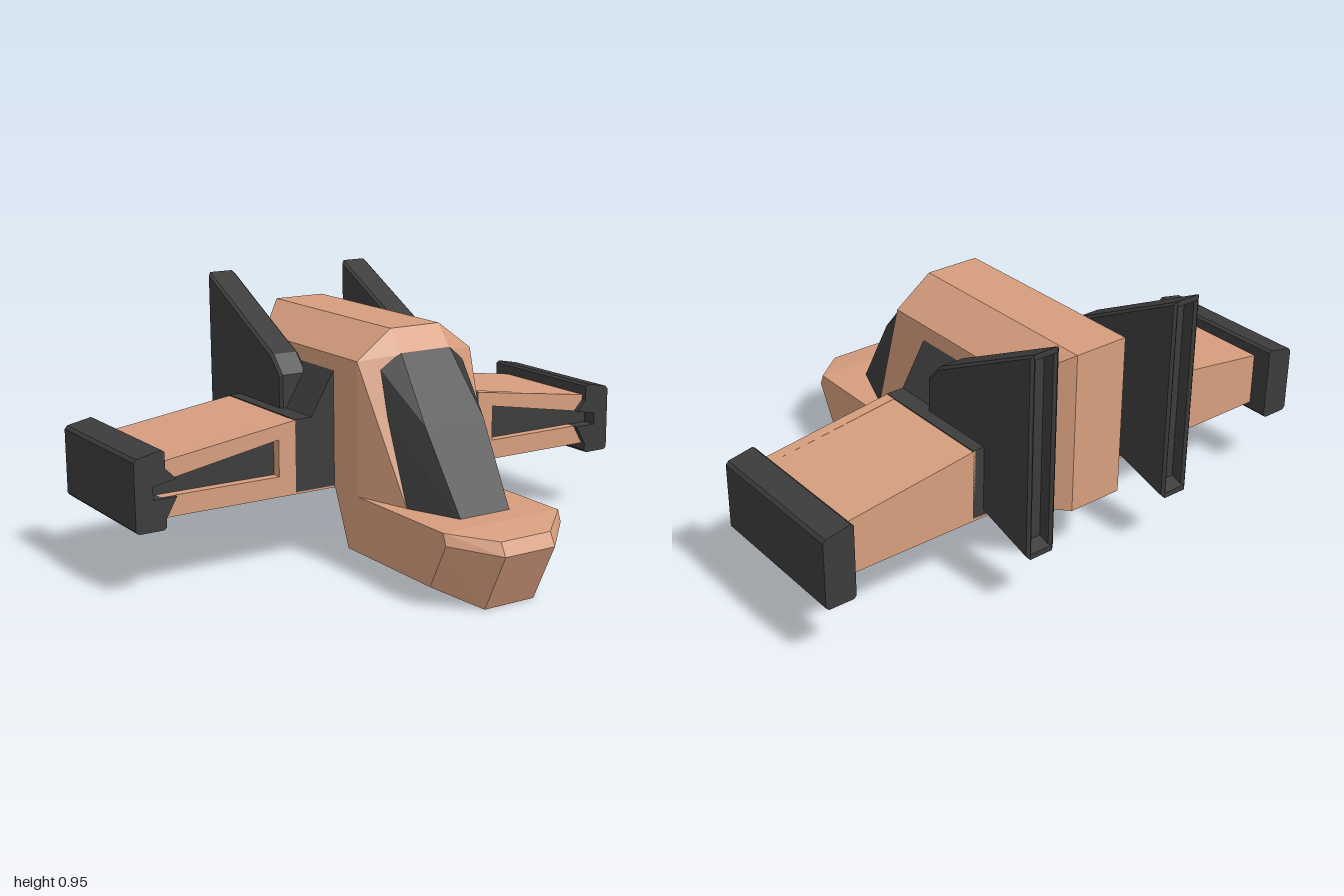
import * as THREE from 'three';
import { ConvexGeometry } from 'three/addons/geometries/ConvexGeometry.js';

const tan = new THREE.MeshStandardMaterial({ color: 0xd69e7e, flatShading: true });
const dark = new THREE.MeshStandardMaterial({ color: 0x3c3c3c, flatShading: true });

const shapeOf = (points) => new THREE.Shape(points.map(([x, y]) => new THREE.Vector2(x, y)));

// Faceted solid, symmetric about x = 0, from its right-hand corners
function hull(corners) {
  const points = corners.flatMap(([x, y, z]) => [new THREE.Vector3(x, y, z), new THREE.Vector3(-x, y, z)]);
  return new ConvexGeometry(points);
}

// Outline in x and y, running from zBack to zFront; side = -1 mirrors it
function slab(points, zBack, zFront, side) {
  const shape = shapeOf(points.map(([x, y]) => [x * side, y]));
  return new THREE.ExtrudeGeometry(shape, { depth: zFront - zBack, bevelEnabled: false }).translate(0, 0, zBack);
}

// Outline in z and y, running from x0 to x1
function sidePlate(points, x0, x1, bevel = 0) {
  const shape = shapeOf(points.map(([z, y]) => [-z, y]));
  return new THREE.ExtrudeGeometry(shape, {
    depth: x1 - x0 - 2 * bevel, bevelEnabled: bevel > 0, bevelSegments: 1,
    bevelSize: bevel, bevelThickness: bevel, bevelOffset: -bevel,
  }).rotateY(Math.PI / 2).translate(x0 + bevel, 0, 0);
}

export function createModel() {
  const model = new THREE.Group();
  const add = (name, geometry, material, parent = model) => {
    const mesh = new THREE.Mesh(geometry, material);
    mesh.name = name;
    parent.add(mesh);
  };

  // Main body with chamfered roof and rear corners
  add('body', hull([
    [0.1, 0.84, 0.1], [0.235, 0.74, 0.1], [0.235, 0.27, 0.1],
    [0.1, 0.84, -0.67], [0.235, 0.74, -0.53], [0.1, 0.27, -0.67], [0.235, 0.27, -0.53],
  ]), tan);

  // Sloping front that carries the canopy
  add('canopyFrame', hull([
    [0.1, 0.84, 0.1], [0.235, 0.74, 0.1], [0.235, 0.26, 0.1],
    [0.1, 0.76, 0.165], [0.17, 0.72, 0.135], [0.175, 0.26, 0.314],
  ]), tan);
  add('canopy', hull([
    [0.1, 0.765, 0.165], [0.12, 0.55, 0.335], [0.1, 0.26, 0.516],
    [0.172, 0.72, 0.137], [0.178, 0.55, 0.203], [0.177, 0.26, 0.317],
  ]), dark);

  // Low nose pod under the canopy
  add('nose', hull([
    [0.1, 0.205, 0.75], [0.235, 0.23, 0.615], [0.1, 0.25, 0.725], [0.235, 0.27, 0.6],
    [0.1, 0, 0.645], [0.235, 0.07, 0.53], [0.1, 0, 0.03], [0.235, 0.07, 0.04],
    [0.1, 0.27, -0.09], [0.235, 0.27, -0.045],
  ]), tan);

  // Flat belly joining both wings
  add('belly', new THREE.BoxGeometry(1.78, 0.012, 0.47).translate(0, 0.274, -0.285), tan);

  const finOutline = [[-0.22, 0.4], [-0.22, 0.65], [-0.28, 0.715], [-0.745, 0.95], [-0.745, 0.22], [-0.5, 0.29]];
  const finCore = [[-0.22, 0.4], [-0.22, 0.65], [-0.28, 0.715], [-0.745, 0.95], [-0.745, 0.93],
    [-0.695, 0.905], [-0.695, 0.255], [-0.745, 0.24], [-0.745, 0.22], [-0.5, 0.29]];

  for (const side of [1, -1]) {
    const wing = new THREE.Group();
    wing.name = side > 0 ? 'leftWing' : 'rightWing';
    model.add(wing);

    // Root fairing against the body
    add('wingRoot', slab([[0.22, 0.275], [0.39, 0.275], [0.39, 0.532], [0.325, 0.532], [0.235, 0.685], [0.22, 0.685]],
      -0.52, -0.05, side), dark, wing);

    // Tapered wing with a wedge-shaped recess in its leading edge
    add('wingPanel', slab([[0.38, 0.27], [0.9, 0.27], [0.9, 0.458], [0.38, 0.53]], -0.52, -0.09, side), tan, wing);
    add('wingLeadingEdge', slab([[0.389, 0.27], [0.9, 0.27], [0.9, 0.34], [0.455, 0.34], [0.455, 0.47],
      [0.9, 0.391], [0.9, 0.458], [0.389, 0.53]], -0.09, -0.05, side), tan, wing);
    add('intake', slab([[0.45, 0.335], [0.94, 0.335], [0.94, 0.39], [0.45, 0.475]], -0.1, -0.086, side), dark, wing);

    // Wing tip pod, its front notched around the recess
    add('wingTip', slab([[0.89, 0.243], [0.9, 0.233], [0.99, 0.233], [1, 0.243], [1, 0.473], [0.99, 0.485],
      [0.9, 0.503], [0.89, 0.495]], -0.59, -0.09, side), dark, wing);
    add('wingTipFront', slab([[0.89, 0.243], [0.9, 0.233], [0.99, 0.233], [1, 0.243], [1, 0.473], [0.99, 0.485],
      [0.9, 0.503], [0.89, 0.495], [0.89, 0.44], [0.85, 0.4], [0.935, 0.385], [0.935, 0.34], [0.85, 0.34],
      [0.89, 0.27]], -0.09, -0.03, side), dark, wing);

    // Upright fin: two bevelled skins around a core with a hollow rear edge
    const fin = new THREE.Group();
    fin.name = side > 0 ? 'leftFin' : 'rightFin';
    fin.position.x = side * 0.292;
    model.add(fin);
    add('finCore', sidePlate(finCore, -0.045, 0.045), dark, fin);
    for (const x of [-0.055, 0.035]) add('finSkin', sidePlate(finOutline, x, x + 0.02, 0.01), dark, fin);
  }
  return model;
}
